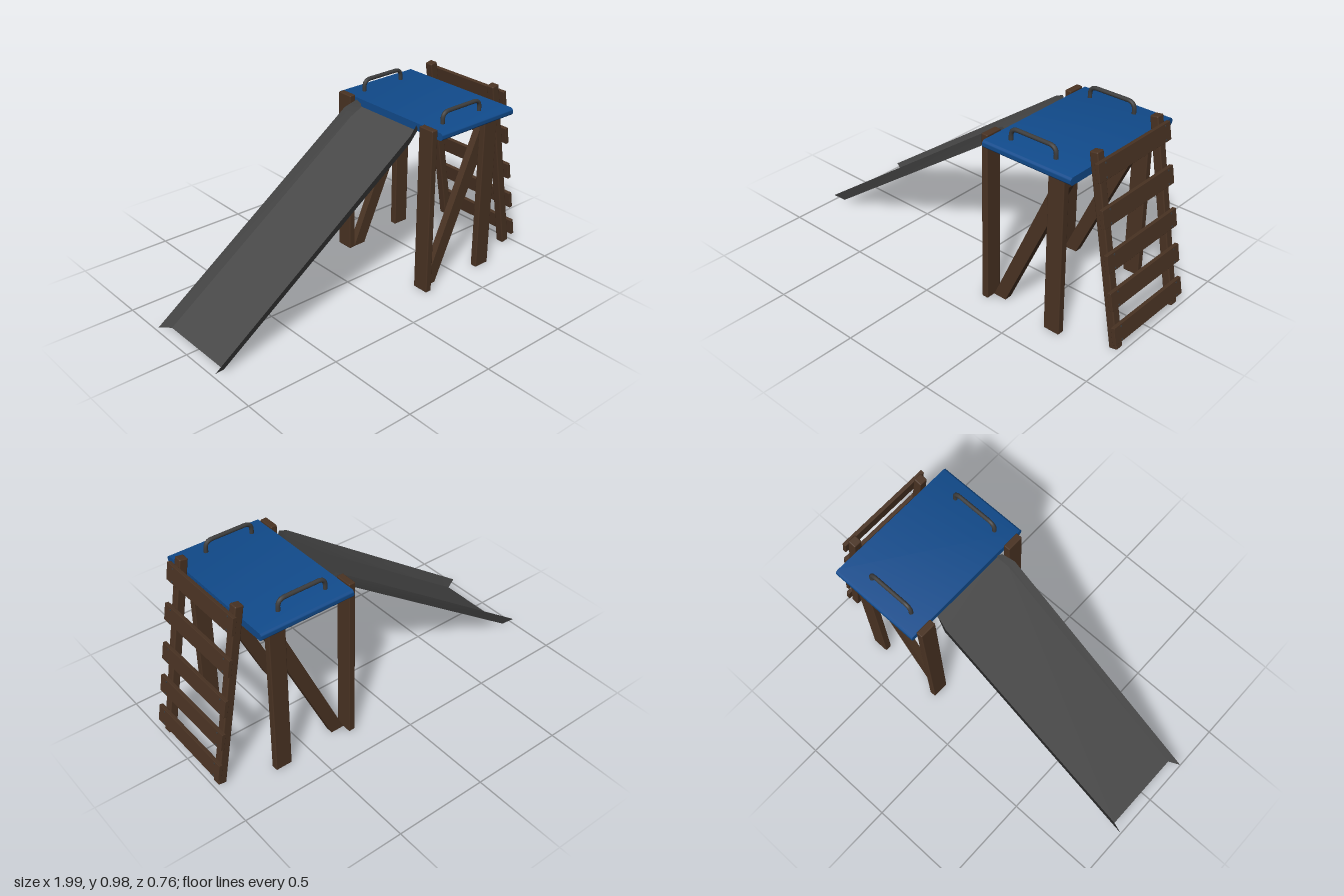
import * as THREE from 'three';
import { toCreasedNormals } from 'three/addons/utils/BufferGeometryUtils.js';
import { RoundedBoxGeometry } from 'three/addons/geometries/RoundedBoxGeometry.js';

const wood = new THREE.MeshStandardMaterial({ color: 0x4a3323 });
const blue = new THREE.MeshStandardMaterial({ color: 0x114b8c });
const sheet = new THREE.MeshStandardMaterial({ color: 0x484848, side: THREE.DoubleSide });
const metal = new THREE.MeshStandardMaterial({ color: 0x3c3c3c });

function add(parent, name, geometry, material, x = 0, y = 0, z = 0) {
  const mesh = new THREE.Mesh(geometry, material);
  mesh.name = name;
  mesh.position.set(x, y, z);
  parent.add(mesh);
  return mesh;
}

const plank = (w, h, d, r = 0.005) => new RoundedBoxGeometry(w, h, d, 2, r);

// Deck board with rounded long edges, extruded along x
function deckGeometry(length, height, width, r) {
  const w = width / 2, h = height / 2;
  const s = new THREE.Shape();
  s.moveTo(-w + r, -h);
  s.lineTo(w - r, -h);
  s.absarc(w - r, -h + r, r, -Math.PI / 2, 0);
  s.absarc(w - r, h - r, r, 0, Math.PI / 2);
  s.absarc(-w + r, h - r, r, Math.PI / 2, Math.PI);
  s.absarc(-w + r, -h + r, r, Math.PI, Math.PI * 1.5);
  const g = new THREE.ExtrudeGeometry(s, { depth: length, bevelEnabled: false, curveSegments: 5 });
  g.translate(0, 0, -length / 2).rotateY(Math.PI / 2);
  return toCreasedNormals(g, 0.6);
}

// Thin chute: a floor with two flared side walls, lofted through stations
function slideGeometry() {
  // floor x, floor y, floor half width, rim x, rim y, rim half width
  const stations = [
    [-0.94, 0.012, 0.222, -1.0, 0.03, 0.245],
    [0.21, 0.815, 0.222, 0.19, 0.868, 0.245],
    [0.28, 0.864, 0.205, 0.25, 0.9, 0.222],
  ];
  const pos = [], index = [];
  for (const [fx, fy, fw, rx, ry, rw] of stations)
    pos.push(rx, ry, rw, fx, fy, fw, fx, fy, -fw, rx, ry, -rw);
  for (let i = 0; i < stations.length - 1; i++)
    for (let j = 0; j < 3; j++) {
      const a = i * 4 + j, b = a + 4;
      index.push(a, b, a + 1, a + 1, b, b + 1);
    }
  const g = new THREE.BufferGeometry();
  g.setAttribute('position', new THREE.Float32BufferAttribute(pos, 3));
  g.setIndex(index);
  return toCreasedNormals(g, 0.5);
}

// Diagonal brace, cut level at the ground and upright at the rear post
function braceGeometry() {
  const s = new THREE.Shape([
    [0.272, 0.005], [0.345, 0.005], [0.705, 0.79], [0.705, 0.86], [0.655, 0.86],
  ].map(([x, y]) => new THREE.Vector2(x, y)));
  return new THREE.ExtrudeGeometry(s, { depth: 0.04, bevelEnabled: false }).translate(0, 0, -0.02);
}

// Grab handle: two legs, round corners and a straight bar
function handleGeometry() {
  const x0 = 0.363, x1 = 0.622, y0 = 0.89, y1 = 0.959, r = 0.04;
  const v = (x, y) => new THREE.Vector3(x, y, 0);
  const path = new THREE.CurvePath();
  path.add(new THREE.LineCurve3(v(x0, y0), v(x0, y1 - r)));
  path.add(new THREE.QuadraticBezierCurve3(v(x0, y1 - r), v(x0, y1), v(x0 + r, y1)));
  path.add(new THREE.LineCurve3(v(x0 + r, y1), v(x1 - r, y1)));
  path.add(new THREE.QuadraticBezierCurve3(v(x1 - r, y1), v(x1, y1), v(x1, y1 - r)));
  path.add(new THREE.LineCurve3(v(x1, y1 - r), v(x1, y0)));
  return new THREE.TubeGeometry(path, 64, 0.011, 10);
}

function createLadder() {
  const ladder = new THREE.Group();
  ladder.name = 'ladder';
  ladder.position.set(0.958, 0.004, 0);
  ladder.rotation.z = 0.1736;
  for (const side of [1, -1])
    add(ladder, 'ladderRail', plank(0.045, 0.988, 0.046, 0.006), wood, 0, 0.494, side * 0.224);
  for (const height of [0.1, 0.279, 0.466, 0.684, 0.9]) {
    const y = (height - 0.01) / 0.985;
    add(ladder, 'rung', plank(0.02, 0.092, 0.54, 0.002), wood, 0.0325, y, 0.005);
    // Screws, two into each rail
    for (const z of [0.224, -0.224])
      for (const dy of [0.034, -0.034]) {
        const head = new THREE.CylinderGeometry(0.005, 0.005, 0.003, 10).rotateZ(-Math.PI / 2);
        add(ladder, 'screw', head, metal, 0.043, y + dy, z);
      }
  }
  return ladder;
}

export function createModel() {
  const model = new THREE.Group();
  model.name = 'playgroundSlide';

  add(model, 'platform', deckGeometry(0.505, 0.04, 0.764, 0.018), blue, 0.5235, 0.88, 0);
  add(model, 'slide', slideGeometry(), sheet);

  // Supports and handles on both sides
  for (const side of [1, -1]) {
    add(model, 'slidePost', plank(0.036, 0.908, 0.092), wood, 0.254, 0.457, side * 0.302);
    add(model, 'ladderPost', plank(0.09, 0.86, 0.038), wood, 0.664, 0.434, side * 0.319);
    add(model, 'brace', braceGeometry(), wood, 0, 0, side * 0.279);
    add(model, 'handle', handleGeometry(), metal, 0, 0, side * 0.289);
  }

  model.add(createLadder());
  return model;
}
